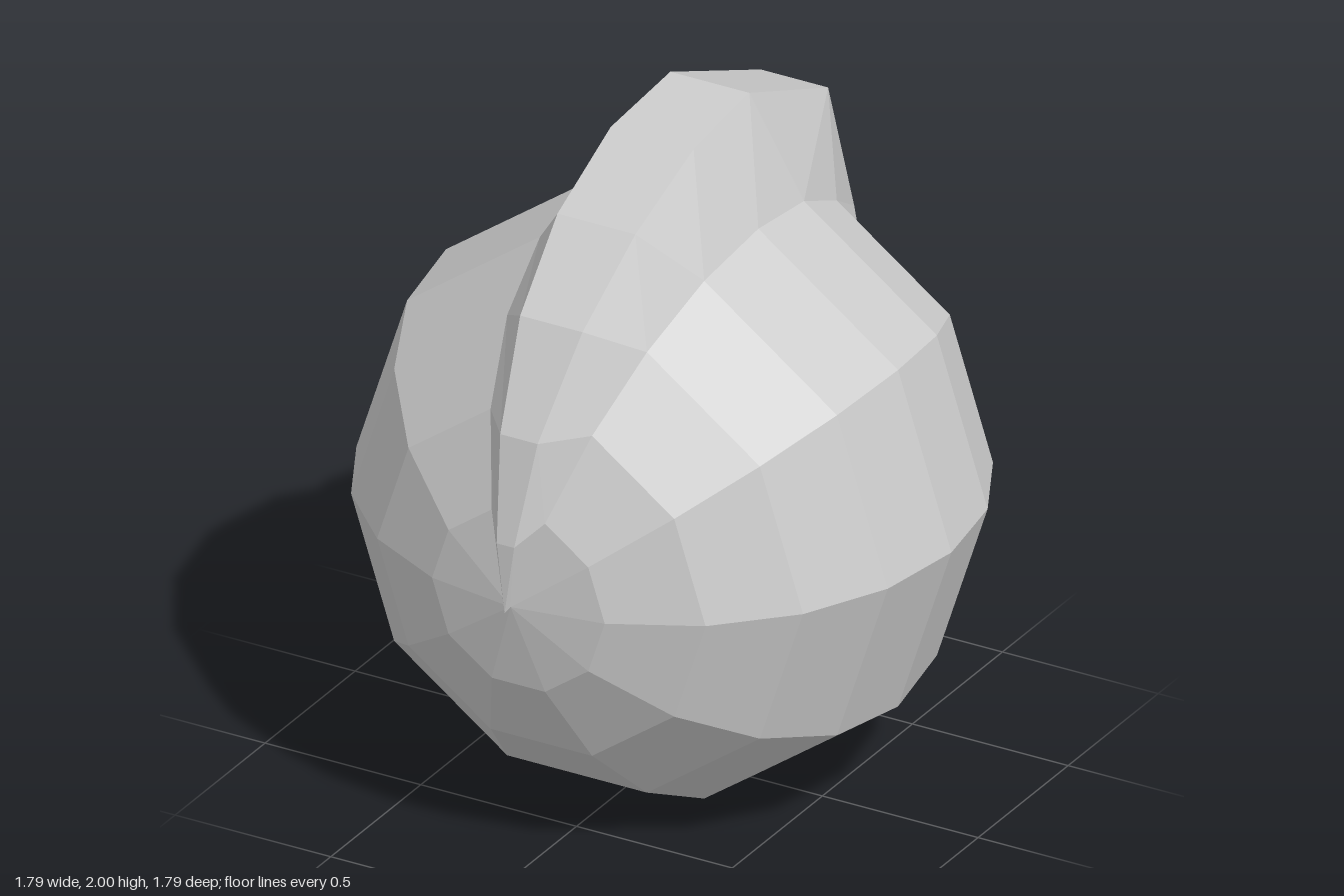
import * as THREE from 'three';

const CY = 0.855, CZ = -0.03, R = 0.897, INNER = 0.84;
const rad = THREE.MathUtils.degToRad;

function material() {
  return new THREE.MeshStandardMaterial({ color: 0xcccccc, flatShading: true });
}

// Hollow ten-sided ball, open at the back, turned about the z axis
function makeShell() {
  const ring = (r, deg) => new THREE.Vector2(r * Math.sin(rad(deg)), r * Math.cos(rad(deg)));
  const profile = [];
  for (let d = 0; d <= 126; d += 18) profile.push(ring(INNER, d));
  // rim of the opening
  profile.push(new THREE.Vector2(0.45, -0.68), new THREE.Vector2(0.435, -0.735), new THREE.Vector2(0.47, -0.75));
  for (let d = 144; d >= 0; d -= 18) profile.push(ring(R, d));
  const geometry = new THREE.LatheGeometry(profile, 10, rad(18));
  geometry.rotateX(Math.PI / 2);
  geometry.translate(0, CY, CZ);
  const mesh = new THREE.Mesh(geometry, material());
  mesh.name = 'shell';
  return mesh;
}

// Tapering crest raised from the top strip of the shell, overhanging the back
function makeCrest() {
  // ridge: half width, y, z from front to back
  const ridge = [
    [0, 0.85, 0.9], [0.028, 1.06, 0.895], [0.06, 1.36, 0.82], [0.1, 1.64, 0.64], [0.125, 1.84, 0.39],
    [0.133, 1.97, 0.08], [0.127, 2, -0.24], [0.108, 1.8, -0.71], [0.085, 1.34, -0.895],
  ];
  // base: follows the shell, then leaves it at the tip
  const base = ridge.map((_, i) => {
    const r = R * Math.sin(rad(18 * i));
    return [r * Math.cos(rad(72)), CY + r * Math.sin(rad(72)), CZ + R * Math.cos(rad(18 * i))];
  });
  base[8] = [0.12, 1.3, -0.855];

  const positions = [], index = [];
  ridge.forEach(([tx, ty, tz], i) => {
    const [bx, by, bz] = base[i];
    positions.push(bx, by, bz, tx, ty, tz, -tx, ty, tz, -bx, by, bz);
    if (i === 0) return;
    for (let j = 0; j < 4; j++) {
      const k = (j + 1) % 4, p = 4 * (i - 1), q = 4 * i;
      index.push(p + j, q + j, q + k, p + j, q + k, p + k);
    }
  });
  // closing face at the tip
  const e = 4 * (ridge.length - 1);
  index.push(e, e + 2, e + 1, e, e + 3, e + 2);

  const geometry = new THREE.BufferGeometry();
  geometry.setAttribute('position', new THREE.Float32BufferAttribute(positions, 3));
  geometry.setIndex(index);
  geometry.computeVertexNormals();
  const mesh = new THREE.Mesh(geometry, material());
  mesh.name = 'crest';
  return mesh;
}

export function createModel() {
  const group = new THREE.Group();
  group.name = 'crestedHelmet';
  group.add(makeShell(), makeCrest());
  return group;
}
